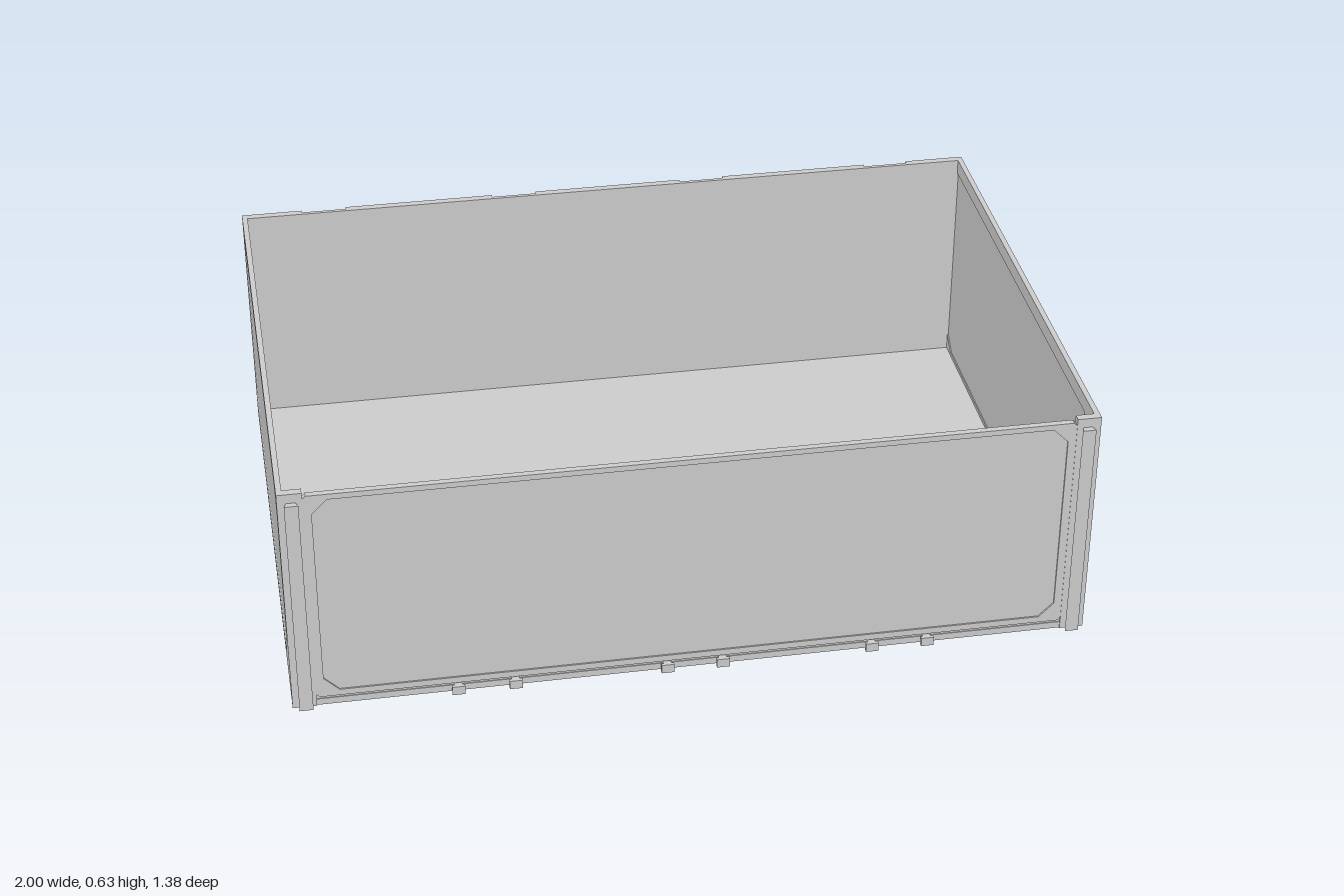
import * as THREE from 'three';

const H = 0.63, T = 0.014;
const mat = new THREE.MeshStandardMaterial({ color: 0xcccccc, flatShading: true });

// Rectangle with chamfered corners: bottom and top cut sizes
function chamfered(x0, y0, x1, y1, bottom, top = bottom) {
  return [[x0 + bottom, y0], [x1 - bottom, y0], [x1, y0 + bottom], [x1, y1 - top],
    [x1 - top, y1], [x0 + top, y1], [x0, y1 - top], [x0, y0 + bottom]];
}
const toVectors = pts => pts.map(p => new THREE.Vector2(...p));

// Flat plate with holes, extruded along z
function plate(outline, holes, depth, bevel = 0) {
  const shape = new THREE.Shape(toVectors(outline));
  for (const h of holes) shape.holes.push(new THREE.Path(toVectors(h)));
  return new THREE.ExtrudeGeometry(shape, {
    depth, bevelEnabled: bevel > 0, bevelSize: bevel, bevelThickness: bevel,
    bevelOffset: -bevel, bevelSegments: 1
  });
}

export function createModel() {
  const model = new THREE.Group();
  const add = (name, geometry, x = 0, y = 0, z = 0) => {
    const mesh = new THREE.Mesh(geometry, mat);
    mesh.name = name;
    mesh.position.set(x, y, z);
    model.add(mesh);
    return mesh;
  };
  const box = (name, x0, x1, y0, y1, z0, z1) =>
    add(name, new THREE.BoxGeometry(x1 - x0, y1 - y0, z1 - z0), (x0 + x1) / 2, (y0 + y1) / 2, (z0 + z1) / 2);

  box('floor', -0.99, 0.99, 0, 0.018, -0.68, 0.672);

  // Side walls: frame around a slightly recessed panel
  const sideWall = [[-0.68, 0], [0.675, 0], [0.675, H], [-0.68, H]];
  const sidePanel = [[0.625, 0.545], [0.58, 0.59], [-0.67, 0.59], [-0.67, 0.07],
    [-0.62, 0.028], [0.475, 0.028], [0.625, 0.18]];
  const keySlot = chamfered(0.648, 0.552, 0.664, 0.588, 0.004);
  for (const s of [-1, 1]) {
    const frame = plate(sideWall, [sidePanel, keySlot], T).rotateY(-Math.PI / 2);
    add('sideFrame', frame, s > 0 ? 1 : -1 + T);
    box('sidePanel', s * 0.993 - 0.004, s * 0.993 + 0.004, 0.01, 0.62, -0.675, 0.67);
  }

  // Front wall: frame with a recessed, chamfered panel
  const frontWall = chamfered(-0.94, 0.025, 0.94, 0.62, 0.008);
  add('frontFrame', plate(frontWall, [chamfered(-0.92, 0.042, 0.92, 0.605, 0.038)], 0.016), 0, 0, 0.658);
  box('frontPanel', -0.945, 0.945, 0.015, 0.612, 0.662, 0.67);

  // Corner posts with a hooked connecting rail
  const rail = plate([[-0.011, 0], [0.011, 0], [0.017, 0.016], [-0.017, 0.016]], [], 0.605).rotateX(-Math.PI / 2);
  rail.scale(1, 1, -1);
  const index = rail.index, pos = rail.attributes.position;
  // Restore the corner order after mirroring
  if (!index) {
    for (let i = 0; i < pos.count; i += 3) {
      const a = new THREE.Vector3().fromBufferAttribute(pos, i);
      const b = new THREE.Vector3().fromBufferAttribute(pos, i + 2);
      pos.setXYZ(i, b.x, b.y, b.z);
      pos.setXYZ(i + 2, a.x, a.y, a.z);
    }
    rail.computeVertexNormals();
  }
  for (const s of [-1, 1]) {
    box('cornerPost', s * 0.965 - 0.025, s * 0.965 + 0.025, 0, H, 0.655, 0.675);
    add('cornerRail', rail, s * 0.967, 0, 0.674);
    // Small hooks along the lower front edge
    for (const x of [0.07, 0.45, 0.592]) {
      box('frontHookNeck', s * x - 0.01, s * x + 0.01, 0, 0.022, 0.66, 0.684);
      box('frontHook', s * x - 0.016, s * x + 0.016, 0, 0.024, 0.681, 0.69);
    }
  }

  // Back wall: ribbed frame with pockets and open notches over the narrow ones
  const outline = [[-1, 0], [1, 0], [1, H]];
  for (const x of [0.78, 0.26, -0.26, -0.78]) {
    outline.push([x + 0.06, H], [x + 0.05, 0.5], [x - 0.05, 0.5], [x - 0.06, H]);
  }
  outline.push([-1, H]);
  const pockets = [chamfered(-0.18, 0.03, 0.18, 0.605, 0.02, 0.045)];
  for (const s of [-1, 1]) {
    const pocket = (a, b, top, cut) => pockets.push(
      chamfered(Math.min(s * a, s * b), 0.03, Math.max(s * a, s * b), top, 0.02, cut));
    pocket(0.21, 0.31, 0.47, 0.025);
    pocket(0.34, 0.70, 0.605, 0.045);
    pocket(0.73, 0.83, 0.47, 0.025);
    pocket(0.86, 0.975, 0.605, 0.03);
  }
  add('backRibs', plate(outline, pockets, 0.011, 0.008), 0, 0, -0.682);
  box('backPanel', -0.99, 0.99, 0, H, -0.672, -0.662);
  return model;
}
